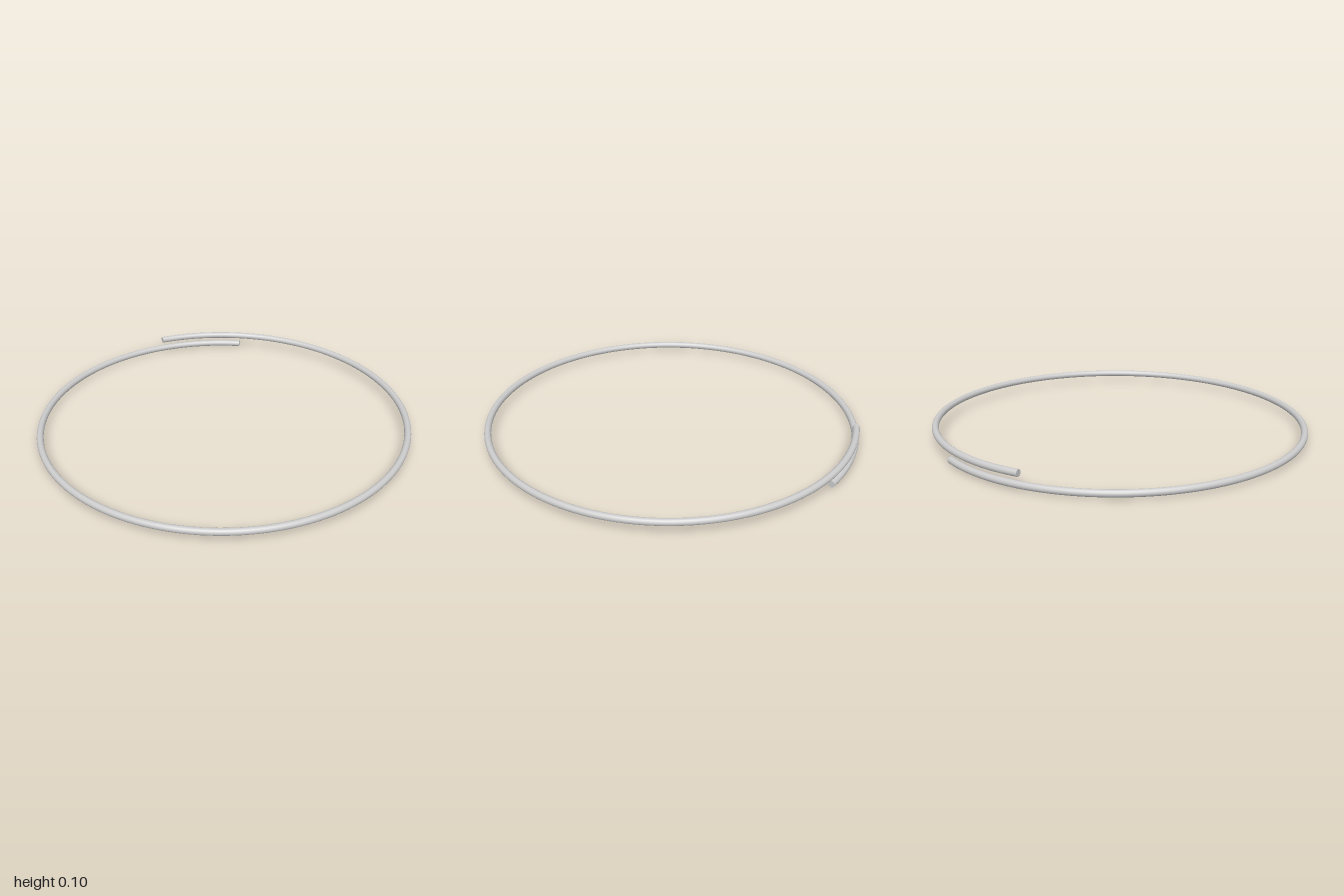
import * as THREE from 'three';

const RING = 0.982, WIRE = 0.018;
const START = THREE.MathUtils.degToRad(-39), END = THREE.MathUtils.degToRad(350);

// Shallow helix of a little more than one turn, angle counted from the back towards -x
class CoilCurve extends THREE.Curve {
  getPoint(t, target = new THREE.Vector3()) {
    const a = THREE.MathUtils.lerp(START, END, t);
    const y = THREE.MathUtils.lerp(WIRE, 0.078, t);
    return target.set(-RING * Math.sin(a), y, -RING * Math.cos(a));
  }
}

export function createModel() {
  const group = new THREE.Group();
  group.name = 'openRing';
  const material = new THREE.MeshStandardMaterial({ color: 0xcccccc });
  const curve = new CoilCurve();

  // Round wire
  const wire = new THREE.Mesh(new THREE.TubeGeometry(curve, 160, WIRE, 16, false), material);
  wire.name = 'wireCoil';
  group.add(wire);

  // Flat cut ends, facing outwards along the wire
  for (const [name, t, sign] of [['lowerEnd', 0, -1], ['upperEnd', 1, 1]]) {
    const cap = new THREE.Mesh(new THREE.CircleGeometry(WIRE, 16), material);
    cap.name = name;
    cap.position.copy(curve.getPoint(t));
    cap.lookAt(cap.position.clone().addScaledVector(curve.getTangent(t), sign));
    group.add(cap);
  }
  return group;
}
